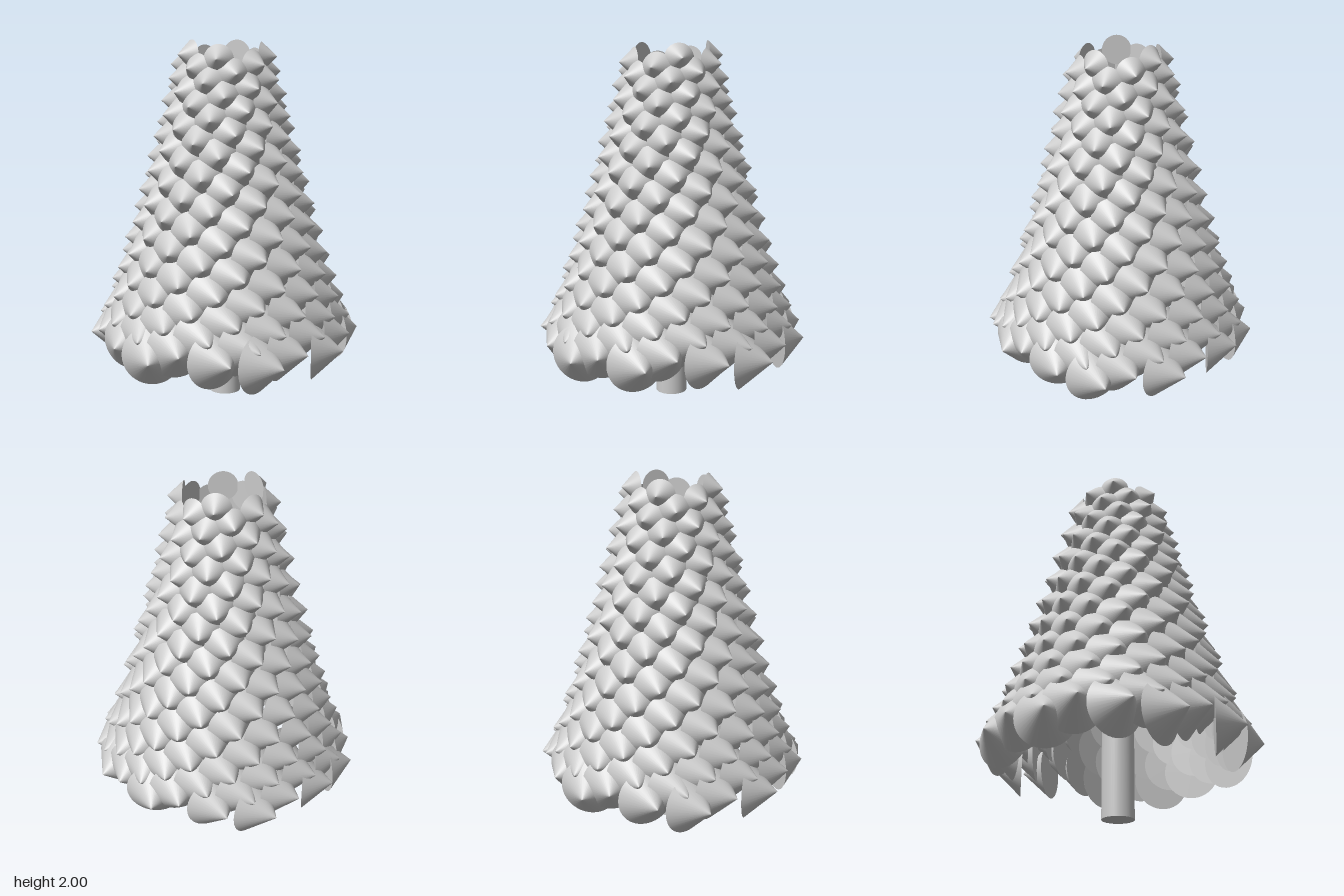
import * as THREE from 'three';

// Tree shell made of cones set on a golden-angle spiral around a trunk
export function createModel() {
  const model = new THREE.Group();
  model.name = 'coneTree';
  const material = new THREE.MeshStandardMaterial({ color: 0xcccccc });
  const rad = THREE.MathUtils.degToRad;
  const lerp = THREE.MathUtils.lerp;
  const centerX = -0.007;

  // Trunk
  const trunkHeight = 0.65;
  const trunk = new THREE.Mesh(new THREE.CylinderGeometry(0.087, 0.087, trunkHeight, 40), material);
  trunk.name = 'trunk';
  trunk.position.set(centerX, trunkHeight / 2, 0);
  model.add(trunk);

  // Foliage: each cone has its flat base inward and its tip outward;
  // the low cones are turned sideways, the top ones point straight out
  const foliage = new THREE.Group();
  foliage.name = 'foliage';
  const coneGeometry = new THREE.ConeGeometry(1, 1.07, 40);
  coneGeometry.translate(0, 0.535, 0); // base centre at the origin
  const up = new THREE.Vector3(0, 1, 0);
  const count = 212;
  for (let i = 0; i < count; i++) {
    const t = i / (count - 1);
    const angle = rad(121 + 137.508 * i);
    const facing = angle - rad(36.5 * (1 - t));
    const ring = lerp(0.632, 0.2, t);

    const cone = new THREE.Mesh(coneGeometry, material);
    cone.name = 'leafCone';
    cone.scale.setScalar(lerp(0.158, 0.08, t));
    // height gains speed towards the top, which hollows the flanks
    cone.position.set(
      centerX + ring * Math.cos(angle),
      lerp(0.357, 1.92, Math.pow(t, 1.3)),
      ring * Math.sin(angle)
    );
    const outward = new THREE.Vector3(Math.cos(facing), 0, Math.sin(facing));
    cone.quaternion.setFromUnitVectors(up, outward);
    foliage.add(cone);
  }
  model.add(foliage);
  return model;
}
